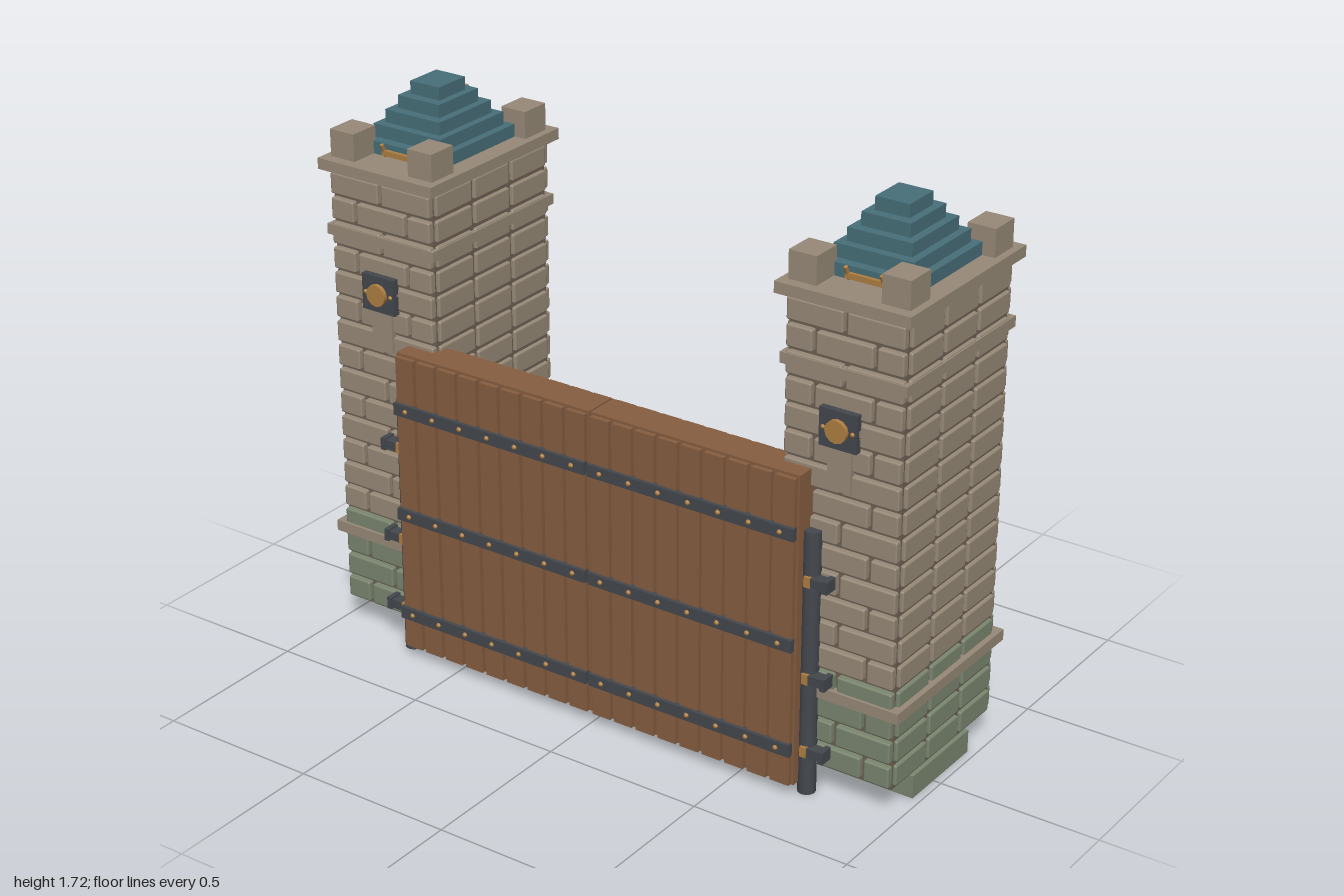
import * as THREE from 'three';
import { mergeGeometries } from 'three/addons/utils/BufferGeometryUtils.js';
import { RoundedBoxGeometry } from 'three/addons/geometries/RoundedBoxGeometry.js';

const paint = (name, color) => {
  const m = new THREE.MeshStandardMaterial({ color });
  m.name = name;
  return m;
};

export function createModel() {
  const stone = paint('stone', 0x988a78);
  const mortar = paint('mortar', 0x6f6154);
  const moss = paint('mossy stone', 0x7b8770);
  const slate = paint('roof teal', 0x48707a);
  const wood = paint('wood', 0x875e40);
  const iron = paint('iron', 0x44484e);
  const amber = paint('amber', 0xb07f42);

  const model = new THREE.Group();
  model.name = 'gateway';

  const add = (parent, name, geometry, material, x = 0, y = 0, z = 0) => {
    const mesh = new THREE.Mesh(geometry, material);
    mesh.name = name;
    mesh.position.set(x, y, z);
    parent.add(mesh);
    return mesh;
  };
  const box = (parent, name, material, w, h, d, x, y, z) =>
    add(parent, name, new THREE.BoxGeometry(w, h, d), material, x, y, z);
  const brick = (w, h, d, x, y, z) =>
    new RoundedBoxGeometry(w, h, d, 1, 0.006).translate(x, y, z);

  // Courses of bricks on all four faces, centred on the tower axis
  const ROWS = 18, BASE = 0.085, PITCH = 0.0778, GAP = 0.012;
  function courses(first, last) {
    const parts = [];
    for (let r = first; r < last; r++) {
      const y = BASE + (r + 0.5) * PITCH, h = PITCH - GAP;
      // front and back: two bricks, or a half, a whole and a half
      const cuts = r % 2 ? [-0.188, 0, 0.188] : [-0.188, -0.094, 0.094, 0.188];
      for (let i = 0; i < cuts.length - 1; i++) {
        const w = cuts[i + 1] - cuts[i] - GAP, x = (cuts[i] + cuts[i + 1]) / 2;
        for (const s of [-1, 1]) parts.push(brick(w, h, 0.026, x, y, s * 0.268));
      }
      // sides: three bricks
      for (let i = -1; i <= 1; i++)
        for (const s of [-1, 1]) parts.push(brick(0.026, h, 0.162, s * 0.18, y, i * 0.175));
    }
    return mergeGeometries(parts);
  }
  const mossyCourses = courses(0, 4), stoneCourses = courses(4, ROWS);

  function tower(name, x) {
    const t = new THREE.Group();
    t.name = name;
    t.position.set(x, 0, -0.04);
    model.add(t);
    box(t, 'mortarCore', mortar, 0.364, 1.415, 0.524, 0, 0.7875, 0);
    add(t, 'mossyBricks', mossyCourses, moss);
    add(t, 'stoneBricks', stoneCourses, stone);
    box(t, 'lowerBand', stone, 0.42, 0.034, 0.58, 0, 0.328, 0);
    box(t, 'upperBand', stone, 0.394, 0.032, 0.57, 0, 1.302, 0);
    box(t, 'cap', stone, 0.418, 0.034, 0.6, 0, 1.506, 0);

    // Corner battlements
    for (const sx of [-1, 1]) for (const sz of [-1, 1])
      box(t, 'battlement', stone, 0.087, 0.085, 0.098, sx * 0.143, 1.564, sz * 0.217);

    // Stepped roof
    const steps = [[0.147, 0.178], [0.123, 0.147], [0.1, 0.12], [0.076, 0.09], [0.053, 0.06]];
    steps.forEach(([hx, hz], i) =>
      box(t, 'roofStep', slate, hx * 2, 0.04, hz * 2, 0, 1.542 + i * 0.0395, 0));

    // Small rail with two prongs before the roof
    box(t, 'roofRail', amber, 0.12, 0.016, 0.016, 0, 1.537, 0.182);
    for (const s of [-1, 1]) {
      const prong = add(t, 'roofProng', new THREE.CylinderGeometry(0.006, 0.006, 0.045, 8), amber,
        s * 0.055, 1.543, 0.185);
      prong.rotation.x = 0.4;
    }

    // T-shaped stone on front and back
    for (const s of [-1, 1]) {
      box(t, 'teeStem', stone, 0.074, 0.15, 0.02, 0, 1.035, s * 0.279);
      box(t, 'teeBar', stone, 0.118, 0.05, 0.02, 0, 1.13, s * 0.279);
    }

    // Lamp on the front
    box(t, 'lampPlate', iron, 0.118, 0.112, 0.022, 0, 1.146, 0.29);
    add(t, 'lampLens', new THREE.CylinderGeometry(0.034, 0.034, 0.018, 12).rotateX(Math.PI / 2),
      amber, 0, 1.146, 0.305);
    for (const s of [-1, 1])
      add(t, 'lampStud', new THREE.SphereGeometry(0.007, 8, 6), amber, s * 0.046, 1.146, 0.301);
  }
  tower('leftTower', 0.786);
  tower('rightTower', -0.786);

  // Threshold between the towers
  box(model, 'threshold', moss, 1.95, 0.072, 0.305, 0, 0.036, -0.038);

  // Two gate leaves with planks and iron straps on both faces
  const LEAF = 0.692, PLANKS = 9, plankPitch = LEAF / PLANKS;
  for (const side of [-1, 1]) {
    const leaf = new THREE.Group();
    leaf.name = side > 0 ? 'leftLeaf' : 'rightLeaf';
    leaf.position.x = side * (LEAF / 2 + 0.003);
    model.add(leaf);
    box(leaf, 'panel', wood, LEAF, 0.965, 0.106, 0, 0.5175, 0.243);
    for (const face of [-1, 1]) {
      for (let i = 0; i < PLANKS; i++)
        box(leaf, 'plank', wood, plankPitch - 0.014, 0.955, 0.016,
          (i - (PLANKS - 1) / 2) * plankPitch, 0.515, 0.243 + face * 0.06);
      for (const y of [0.83, 0.487, 0.155]) {
        box(leaf, 'strap', iron, LEAF - 0.004, 0.038, 0.018, 0, y, 0.243 + face * 0.07);
        for (let i = -3; i <= 3; i++)
          add(leaf, 'rivet', new THREE.SphereGeometry(0.008, 8, 6), amber,
            i * 0.1, y, 0.243 + face * 0.079);
      }
    }
  }

  // Hinge posts with wall brackets
  for (const side of [-1, 1]) {
    const hinge = new THREE.Group();
    hinge.name = side > 0 ? 'leftHinge' : 'rightHinge';
    model.add(hinge);
    add(hinge, 'hingePost', new THREE.CylinderGeometry(0.027, 0.027, 0.826, 12), iron,
      side * 0.709, 0.413, 0.248);
    for (const y of [0.678, 0.375, 0.142]) {
      box(hinge, 'bracket', iron, 0.065, 0.028, 0.036, side * 0.745, y, 0.262);
      box(hinge, 'bracketEnd', iron, 0.016, 0.038, 0.044, side * 0.772, y, 0.262);
      box(hinge, 'hingePin', amber, 0.02, 0.032, 0.02, side * 0.714, y, 0.273);
    }
  }
  return model;
}
